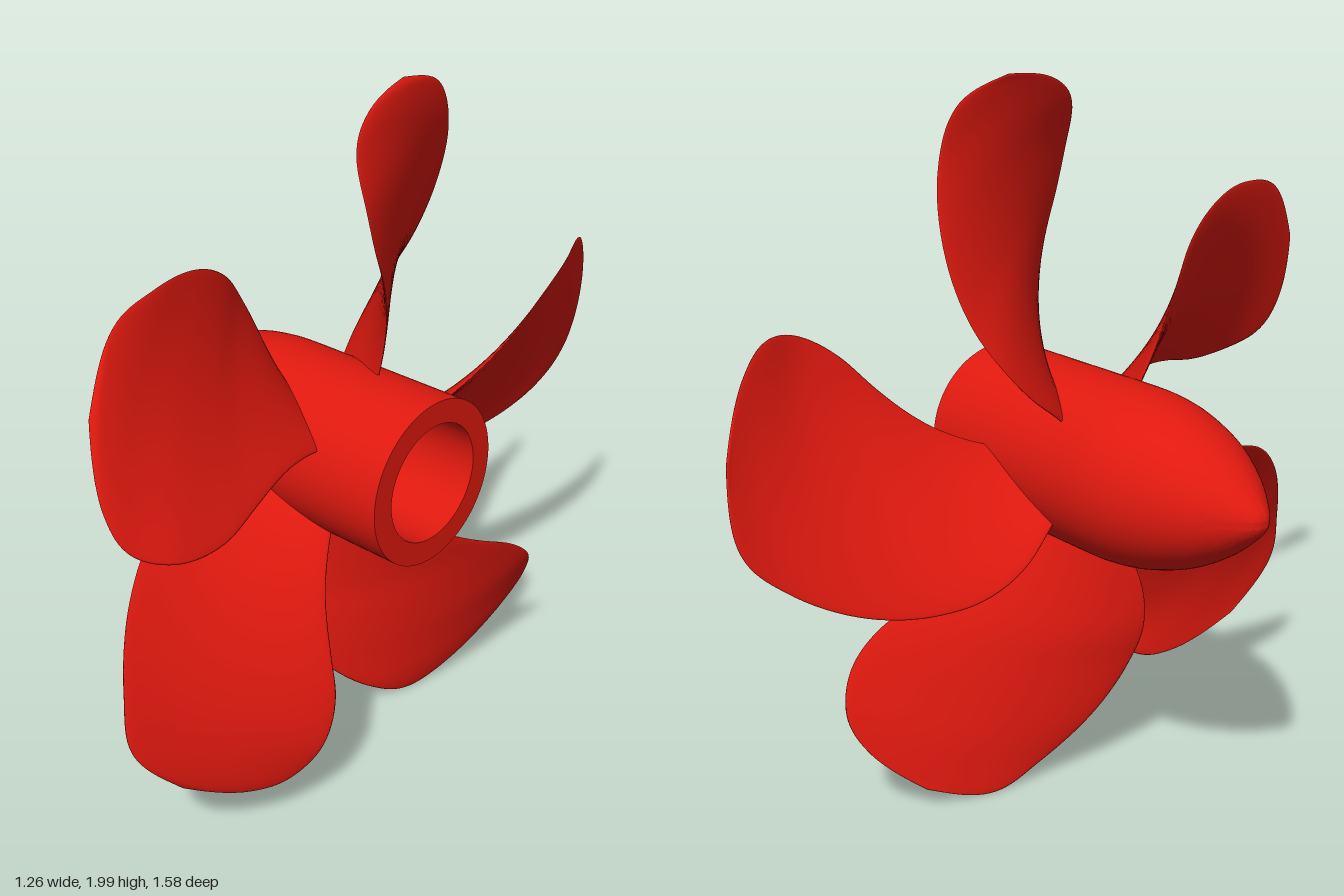
import * as THREE from 'three';
import { toCreasedNormals } from 'three/addons/utils/BufferGeometryUtils.js';

const RED = new THREE.MeshStandardMaterial({ color: 0xe0190f });
const V = (p) => new THREE.Vector3(...p);

// Blade edges as [radius, degrees clockwise from up, position along the shaft]
const LEADING = new THREE.CatmullRomCurve3([
  [0.2, 9, 0.02], [0.373, 2, 0.07], [0.546, -6, 0.127], [0.67, -10.5, 0.157],
  [0.806, -11.3, 0.155], [0.923, -8.8, 0.11], [0.984, -2.6, 0.064], [1.026, 9, 0],
].map(V), false, 'catmullrom', 0.5);
const TRAILING = new THREE.CatmullRomCurve3([
  [0.2, 47, -0.22], [0.36, 50, -0.255], [0.5, 48.5, -0.25], [0.63, 44.5, -0.205],
  [0.774, 37.6, -0.146], [0.92, 28.6, -0.078], [1.015, 20.5, -0.043], [1.026, 9, 0],
].map(V), false, 'catmullrom', 0.5);

// Cylindrical to local coordinates
function toLocal(p) {
  const t = THREE.MathUtils.degToRad(p.y);
  return new THREE.Vector3(p.x * Math.sin(t), p.x * Math.cos(t), p.z);
}

// Thin twisted blade: closed lens sections lofted from root to tip
function bladeGeometry(rows = 56, around = 40) {
  const pos = [], index = [];
  for (let i = 0; i <= rows; i++) {
    const k = i / rows;
    const t = Math.min(1 - (1 - k) ** 1.6, 0.9999);
    const le = LEADING.getPoint(t), te = TRAILING.getPoint(t);
    const chord = toLocal(te).sub(toLocal(le));
    const radial = toLocal(le.clone().lerp(te, 0.5)).setZ(0);
    const normal = chord.cross(radial).normalize();
    const half = (0.016 - 0.007 * t) * Math.sqrt(1 - t ** 8);
    for (let j = 0; j < around; j++) {
      const a = (j / around) * Math.PI * 2;
      const p = toLocal(le.clone().lerp(te, (1 - Math.cos(a)) / 2));
      p.addScaledVector(normal, half * Math.sin(a));
      pos.push(p.x, p.y, p.z);
      if (i < rows) {
        const n = (j + 1) % around, r0 = i * around, r1 = r0 + around;
        index.push(r0 + j, r0 + n, r1 + j, r0 + n, r1 + n, r1 + j);
      }
    }
  }
  const g = new THREE.BufferGeometry();
  g.setAttribute('position', new THREE.Float32BufferAttribute(pos, 3));
  g.setIndex(index);
  g.computeVertexNormals();
  return g;
}

// Hub turned from one profile: rounded nose, straight barrel, open bore
function hubGeometry() {
  const nose = new THREE.SplineCurve([
    [0, -0.782], [0.026, -0.772], [0.06, -0.74], [0.12, -0.668], [0.178, -0.57],
    [0.218, -0.455], [0.234, -0.36], [0.2375, -0.28],
  ].map((p) => new THREE.Vector2(...p))).getPoints(36);
  nose[0].x = 0;
  const barrel = [[0.2375, 0.253], [0.17, 0.253], [0.17, -0.25], [0, -0.25]]
    .map((p) => new THREE.Vector2(...p));
  const g = new THREE.LatheGeometry([...nose, ...barrel], 72);
  g.rotateX(Math.PI / 2);
  return toCreasedNormals(g, 0.6);
}

export function createModel() {
  const model = new THREE.Group();
  model.name = 'propeller';

  // The shaft lies level, turned 50 degrees from the front
  const rotor = new THREE.Group();
  rotor.name = 'rotor';
  rotor.position.set(-0.021, 0.987, 0.025);
  rotor.rotation.y = THREE.MathUtils.degToRad(50);
  model.add(rotor);

  const hub = new THREE.Mesh(hubGeometry(), RED);
  hub.name = 'hub';
  rotor.add(hub);

  // Five equal blades
  const geometry = bladeGeometry();
  for (let i = 0; i < 5; i++) {
    const blade = new THREE.Mesh(geometry, RED);
    blade.name = `blade${i + 1}`;
    blade.rotation.z = (-i * Math.PI * 2) / 5;
    rotor.add(blade);
  }
  return model;
}
